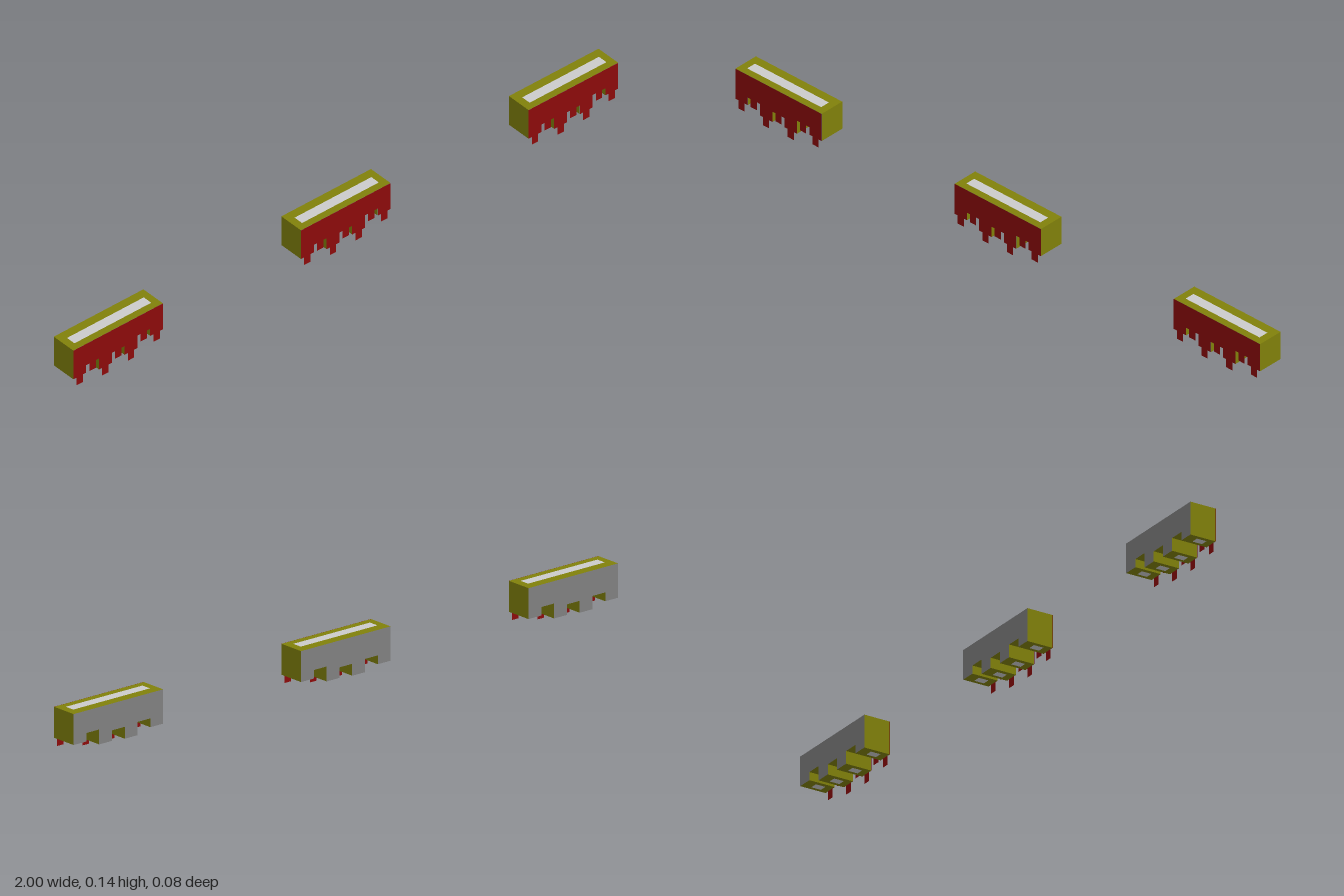
import * as THREE from 'three';

const WIDTH = 0.329, TOP = 0.141, HALF_DEPTH = 0.042;
const TAB_DROP = 0.027;
// bottom height of the seven segments, from -x to +x
const BOTTOMS = [0.04, 0.027, 0.031, 0.05];
const GAPS = [0.066, 0.062, 0.075];
const HEIGHTS = [0, 1, 2, 3, 4, 5, 6].map(i => (i % 2 ? GAPS : BOTTOMS)[i >> 1]);
const SEG = WIDTH / HEIGHTS.length;

const paint = (color, side = THREE.FrontSide) =>
  new THREE.MeshStandardMaterial({ color, side, flatShading: true });

// Stepped outline; with tabs, each segment gets a narrow tongue in its middle
function outline(withTabs) {
  const s = new THREE.Shape();
  s.moveTo(-WIDTH / 2, TOP);
  HEIGHTS.forEach((h, i) => {
    const x = -WIDTH / 2 + i * SEG;
    s.lineTo(x, h);
    if (withTabs) {
      const a = x + SEG / 4, b = x + SEG * 3 / 4;
      s.lineTo(a, h);
      s.lineTo(a, h - TAB_DROP);
      s.lineTo(b, h - TAB_DROP);
      s.lineTo(b, h);
    }
    s.lineTo(x + SEG, h);
  });
  s.lineTo(WIDTH / 2, TOP);
  s.closePath();
  return s;
}

export function createModel() {
  const model = new THREE.Group();
  model.name = 'steppedBlocks';

  const olive = paint(0x80800a);
  const grey = paint(0x808080);
  const red = paint(0x8c0a0a, THREE.DoubleSide);
  const light = paint(0xcccccc, THREE.DoubleSide);

  const bodyGeo = new THREE.ExtrudeGeometry(outline(false), { depth: HALF_DEPTH * 2 - 0.0006, bevelEnabled: false });
  bodyGeo.translate(0, 0, -HALF_DEPTH);
  const plateGeo = new THREE.ShapeGeometry(outline(true));
  const stripGeo = new THREE.PlaneGeometry(WIDTH - SEG, 0.032).rotateX(-Math.PI / 2);
  const padGeo = new THREE.PlaneGeometry(SEG / 2, 0.032).rotateX(Math.PI / 2);

  for (const x of [-1 + WIDTH / 2, 0, 1 - WIDTH / 2]) {
    const block = new THREE.Group();
    block.name = 'block';
    block.position.x = x;

    const add = (name, geo, mat, px = 0, py = 0, pz = 0) => {
      const mesh = new THREE.Mesh(geo, mat);
      mesh.name = name;
      mesh.position.set(px, py, pz);
      block.add(mesh);
    };

    // body with grey back, and a thin front plate with hanging tabs
    add('body', bodyGeo, [grey, olive]);
    add('frontPlate', plateGeo, red, 0, 0, HALF_DEPTH);
    // pale strip on top and pads underneath
    add('topStrip', stripGeo, light, 0, TOP + 0.0006, 0.003);
    HEIGHTS.forEach((h, i) =>
      add('bottomPad', padGeo, light, -WIDTH / 2 + (i + 0.5) * SEG, h - 0.0006, 0.003));
    model.add(block);
  }
  return model;
}
